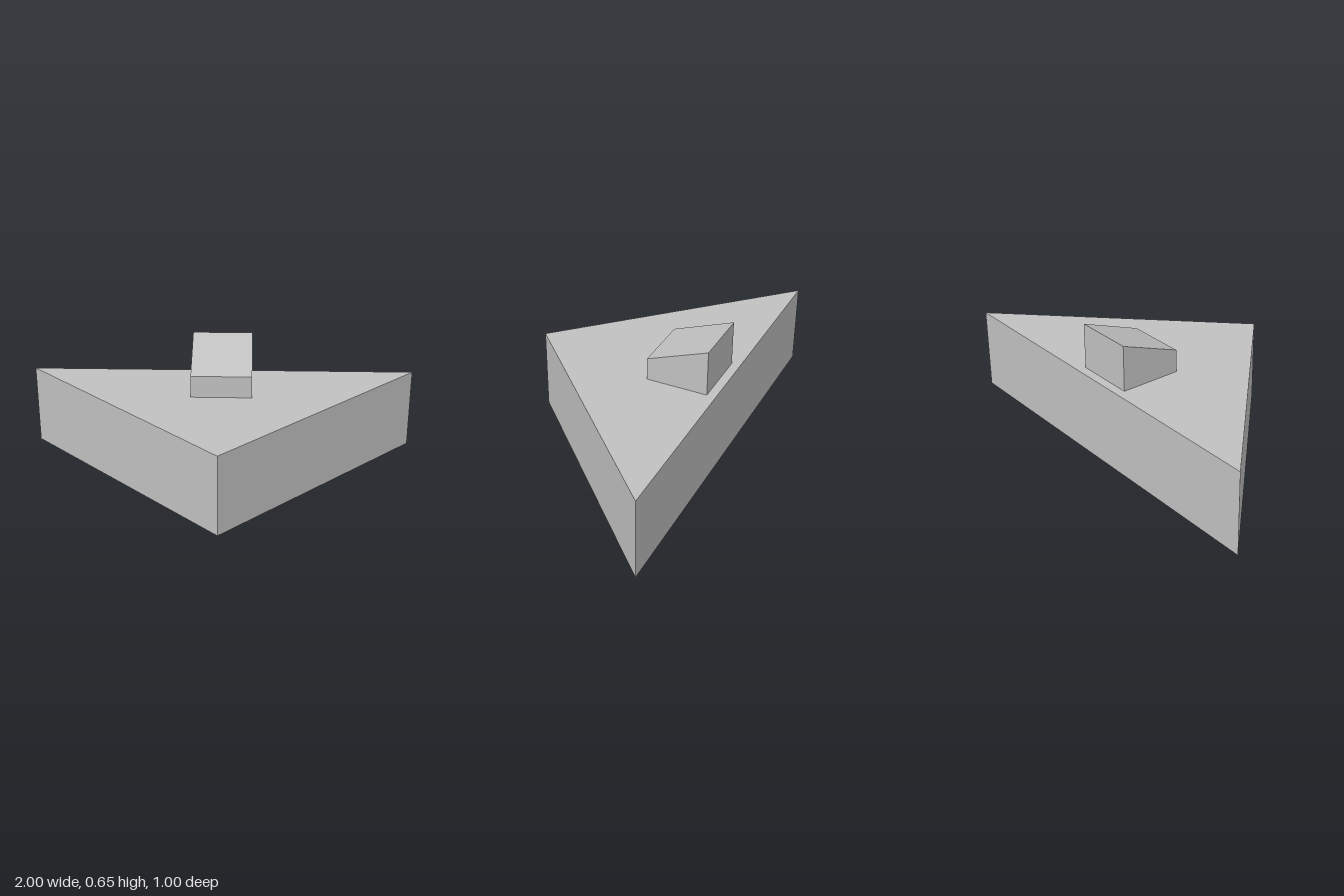
import * as THREE from 'three';

// Straight prism from an outline, extruded along +z
function prism(points, depth) {
  const shape = new THREE.Shape(points.map(([x, y]) => new THREE.Vector2(x, y)));
  return new THREE.ExtrudeGeometry(shape, { depth, bevelEnabled: false });
}

export function createModel() {
  const group = new THREE.Group();
  group.name = 'wedgeShip';
  const grey = new THREE.MeshStandardMaterial({ color: 0xc0c0c0 });
  grey.name = 'light grey';

  // Triangular hull, pointed towards the front
  const hullGeometry = prism([[0, -0.5], [1, 0.5], [-1, 0.5]], 0.42);
  hullGeometry.rotateX(-Math.PI / 2);
  const hull = new THREE.Mesh(hullGeometry, grey);
  hull.name = 'hull';

  // Block with a sloping roof: side outline in (z, y), extruded across x
  const width = 0.308;
  const cabinGeometry = prism([[-0.455, 0.42], [-0.145, 0.42], [-0.145, 0.534], [-0.455, 0.651]], width);
  cabinGeometry.translate(0, 0, -width / 2).rotateY(-Math.PI / 2);
  const cabin = new THREE.Mesh(cabinGeometry, grey);
  cabin.name = 'cabin';

  group.add(hull, cabin);
  return group;
}
